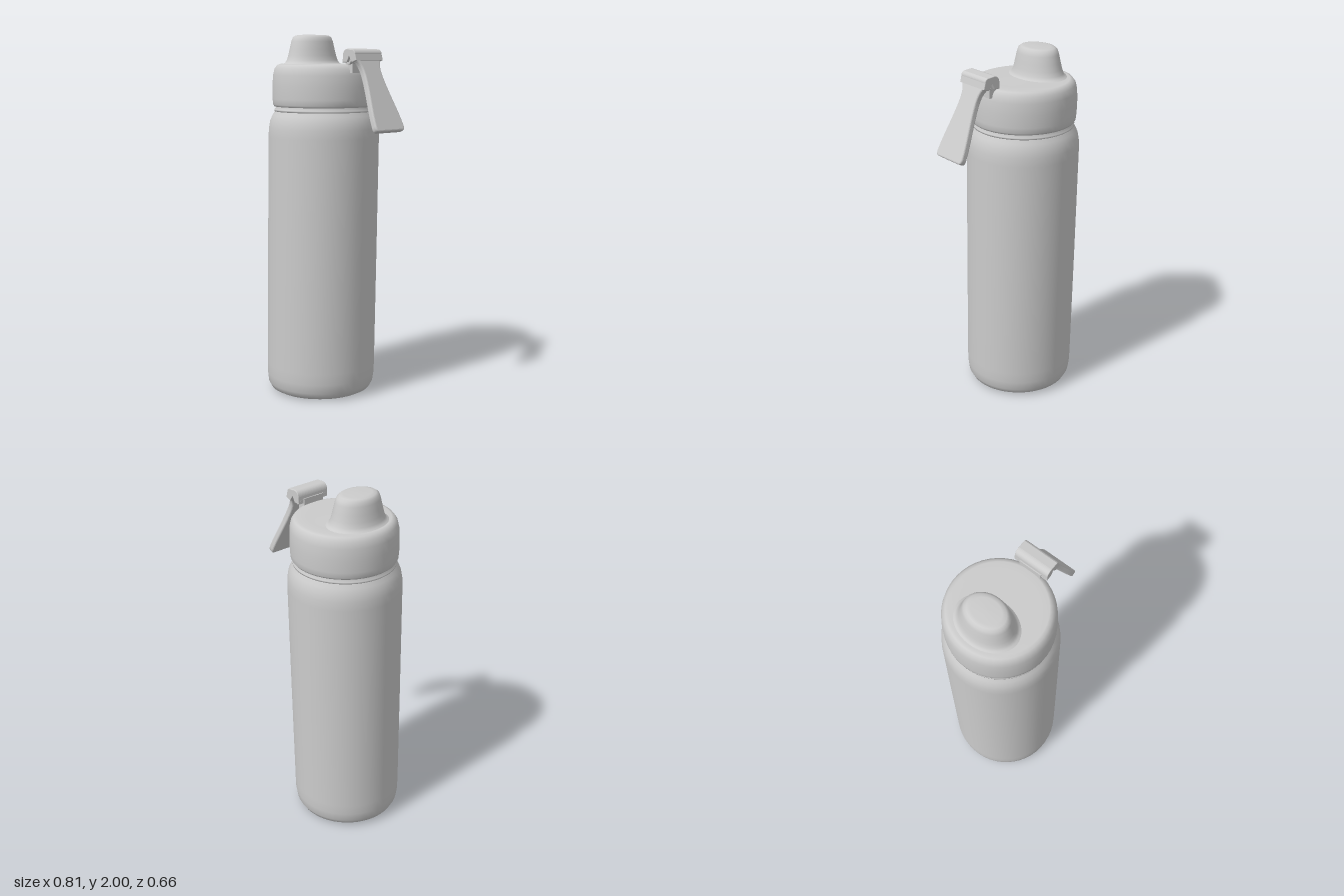
import * as THREE from 'three';

const material = new THREE.MeshStandardMaterial({ color: 0xcccccc });
const TURN = THREE.MathUtils.degToRad(32.5); // direction the carry loop points, from +x towards +z

function mesh(name, geometry) {
  const m = new THREE.Mesh(geometry, material);
  m.name = name;
  return m;
}

function lathe(profile, segments = 48) {
  return new THREE.LatheGeometry(profile.map(([r, y]) => new THREE.Vector2(r, y)), segments);
}

// The bottle leans very slightly: shift every height sideways
function lean(geometry) {
  const p = geometry.attributes.position;
  for (let i = 0; i < p.count; i++) {
    const y = p.getY(i);
    p.setX(i, p.getX(i) - 0.103 + 0.01 * y);
    p.setZ(i, p.getZ(i) - 0.019 * y);
  }
  geometry.computeBoundingSphere();
  return geometry;
}

function extrude(shape, depth, bevel) {
  const g = new THREE.ExtrudeGeometry(shape, {
    depth: depth - 2 * bevel, bevelThickness: bevel, bevelSize: bevel,
    bevelOffset: -bevel, bevelSegments: 3, curveSegments: 10,
  });
  return g.translate(0, 0, bevel - depth / 2);
}

export function createModel() {
  const bottle = new THREE.Group();
  bottle.name = 'waterBottle';

  // Body with rounded foot and shoulder
  bottle.add(mesh('body', lean(lathe([
    [0, 0.004], [0.24, 0.004], [0.255, 0.007], [0.28, 0.02], [0.297, 0.05], [0.304, 0.1], [0.305, 0.16],
    [0.307, 0.8], [0.308, 1.44], [0.306, 1.49], [0.299, 1.53], [0.286, 1.56], [0.274, 1.58], [0.27, 1.59],
  ]))));

  // Narrow ring between body and lid
  bottle.add(mesh('neckRing', lean(lathe([
    [0.262, 1.575], [0.276, 1.583], [0.277, 1.592], [0.268, 1.6], [0.268, 1.62],
  ]))));

  // Lid with softened edges
  bottle.add(mesh('lid', lean(lathe([
    [0.255, 1.608], [0.276, 1.609], [0.284, 1.62], [0.287, 1.65], [0.288, 1.72], [0.285, 1.78],
    [0.277, 1.815], [0.262, 1.835], [0.245, 1.841], [0.2, 1.84], [0, 1.842],
  ]))));

  // Oval drinking spout
  const spout = mesh('spout', lathe([
    [0.146, 1.836], [0.13, 1.845], [0.121, 1.86], [0.114, 1.885], [0.107, 1.92], [0.099, 1.962],
    [0.092, 1.984], [0.08, 1.995], [0.062, 1.999], [0, 2],
  ], 36));
  spout.scale.z = 1.3;
  spout.position.set(-0.17, 0, -0.085);
  spout.rotation.y = -TURN;
  bottle.add(spout);

  // Carry loop assembly: local x points outward, local z runs across the strap
  const loop = new THREE.Group();
  loop.name = 'carryLoop';
  loop.position.set(-0.085, 0, -0.035);
  loop.rotation.y = -TURN;
  bottle.add(loop);

  // Hinge block folded over the lid edge
  const hinge = new THREE.Shape();
  hinge.moveTo(0.25, 1.85);
  hinge.lineTo(0.252, 1.89);
  hinge.quadraticCurveTo(0.256, 1.92, 0.285, 1.922);
  hinge.lineTo(0.33, 1.918);
  hinge.quadraticCurveTo(0.346, 1.91, 0.346, 1.895);
  hinge.lineTo(0.355, 1.862);
  hinge.lineTo(0.322, 1.85);
  hinge.lineTo(0.3, 1.882);
  hinge.lineTo(0.284, 1.852);
  hinge.closePath();
  loop.add(mesh('hingeBlock', extrude(hinge, 0.2, 0.004)));

  // Pin and its support rising from the lid
  const pin = mesh('hingePin', new THREE.CylinderGeometry(0.026, 0.026, 0.17, 16).rotateX(Math.PI / 2));
  pin.position.set(0.276, 1.866, 0);
  loop.add(pin);
  const support = mesh('hingeSupport', new THREE.BoxGeometry(0.045, 0.08, 0.13));
  support.position.set(0.268, 1.835, 0);
  loop.add(support);

  // Hanging strap: waisted below the hinge, flared at the free end
  const L = 0.455;
  const strap = new THREE.Shape();
  strap.moveTo(-0.095, -0.015);
  strap.lineTo(-0.095, -0.045);
  strap.bezierCurveTo(-0.07, -0.07, -0.064, -0.1, -0.066, -0.14);
  strap.bezierCurveTo(-0.072, -0.24, -0.1, -0.33, -0.106, -L + 0.03);
  strap.quadraticCurveTo(-0.107, -L, -0.085, -L);
  strap.lineTo(0.085, -L);
  strap.quadraticCurveTo(0.107, -L, 0.106, -L + 0.03);
  strap.bezierCurveTo(0.1, -0.33, 0.072, -0.24, 0.066, -0.14);
  strap.bezierCurveTo(0.064, -0.1, 0.07, -0.07, 0.095, -0.045);
  strap.lineTo(0.095, -0.015);
  strap.closePath();
  const strapMesh = mesh('strap', extrude(strap, 0.036, 0.009).rotateY(Math.PI / 2).rotateZ(0.434));
  strapMesh.position.set(0.314, 1.903, 0);
  loop.add(strapMesh);

  return bottle;
}
